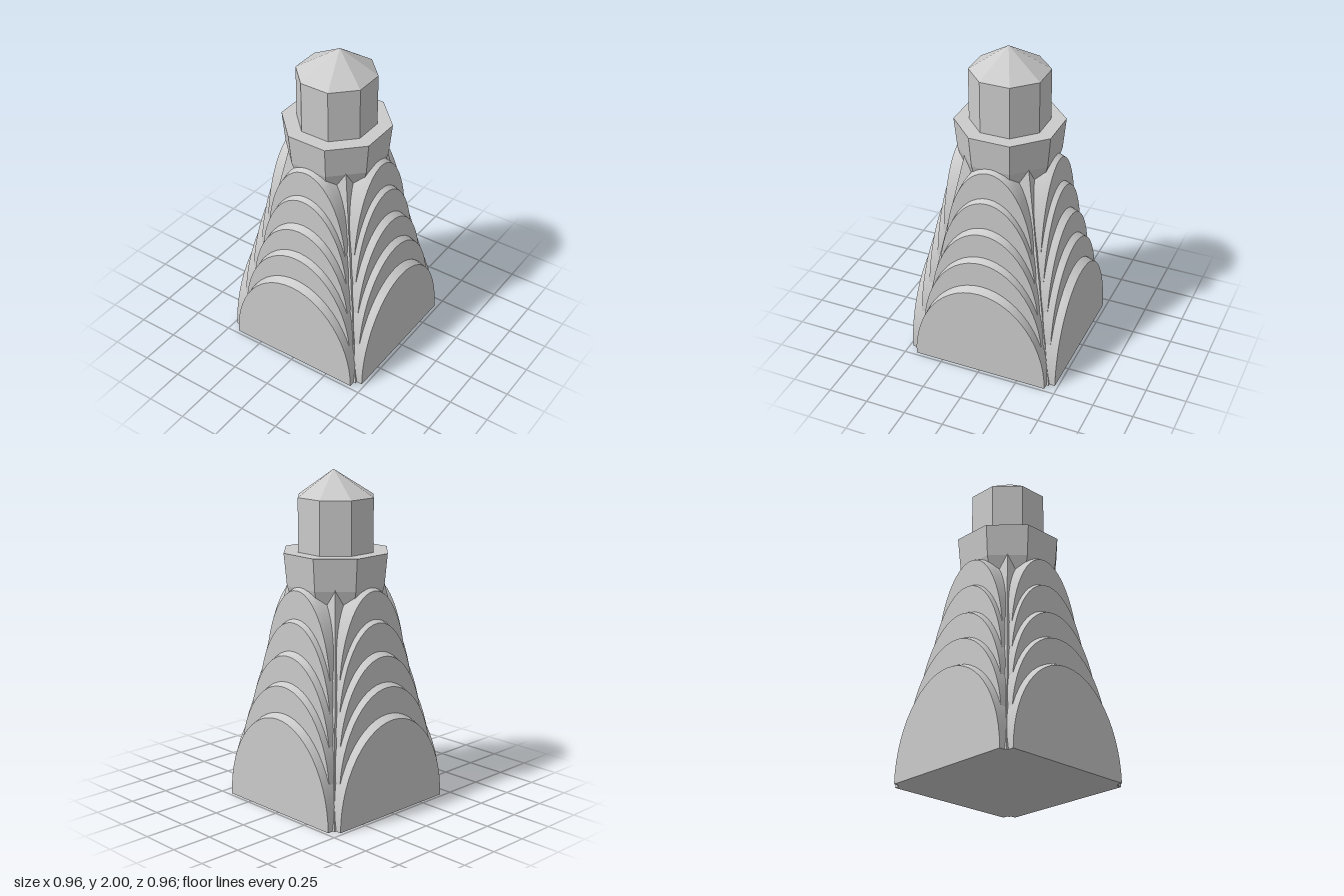
import * as THREE from 'three';
import { toCreasedNormals } from 'three/addons/utils/BufferGeometryUtils.js';

const stone = new THREE.MeshStandardMaterial({ color: 0xcccccc });
const facetedStone = new THREE.MeshStandardMaterial({ color: 0xcccccc, flatShading: true });

// Barrel vault along z: straight legs, elliptical arch, crown dipping toward both ends
function vaultGeometry({ depth, width, bottom, spring, top }, segments = 28) {
  const lip = 0.045, dip = 0.022;
  const stations = [
    [depth, top - dip], [depth - lip, top],
    [lip - depth, top], [-depth, top - dip],
  ];
  const n = segments + 3;
  const positions = [], index = [];
  for (const [z, crown] of stations) {
    positions.push(-width, bottom, z);
    for (let i = 0; i <= segments; i++) {
      const a = Math.PI * (1 - i / segments);
      positions.push(width * Math.cos(a), spring + (crown - spring) * Math.sin(a), z);
    }
    positions.push(width, bottom, z);
  }
  for (let k = 0; k < stations.length - 1; k++) {
    for (let i = 0; i < n; i++) {
      const a = k * n + i, b = k * n + (i + 1) % n;
      index.push(a, b, b + n, a, b + n, a + n);
    }
  }
  const back = (stations.length - 1) * n;
  for (let i = 1; i < n - 1; i++) {
    index.push(0, i + 1, i, back, back + i, back + i + 1);
  }
  const geometry = new THREE.BufferGeometry();
  geometry.setAttribute('position', new THREE.Float32BufferAttribute(positions, 3));
  geometry.setIndex(index);
  return toCreasedNormals(geometry, 0.35);
}

// Regular prism or frustum whose flat sides face the axes; radii are measured to the flats
function flatSided(name, sides, rTop, rBottom, y0, y1, open = false) {
  const k = 1 / Math.cos(Math.PI / sides);
  const geometry = new THREE.CylinderGeometry(rTop * k, rBottom * k, y1 - y0, sides, 1, open);
  geometry.rotateY(Math.PI / sides);
  geometry.translate(0, (y0 + y1) / 2, 0);
  const mesh = new THREE.Mesh(geometry, facetedStone);
  mesh.name = name;
  return mesh;
}

export function createModel() {
  const group = new THREE.Group();
  group.name = 'tower';

  // Tapering core that fills the valleys at the four corners
  group.add(flatSided('cornerCore', 4, 0.2, 0.445, 0, 1.35));

  // Five stacked tiers, each a pair of crossing vaults
  const tiers = [
    { depth: 0.48, width: 0.43, spring: 0, top: 0.605 },
    { depth: 0.43, width: 0.39, spring: 0.19, top: 0.79 },
    { depth: 0.39, width: 0.35, spring: 0.37, top: 0.967 },
    { depth: 0.347, width: 0.312, spring: 0.55, top: 1.16 },
    { depth: 0.315, width: 0.28, spring: 0.73, top: 1.345 },
  ];
  tiers.forEach((tier, i) => {
    const tierGroup = new THREE.Group();
    tierGroup.name = `archTier${i + 1}`;
    const geometry = vaultGeometry({ ...tier, bottom: Math.max(0, tier.spring - 0.2) });
    ['frontBackVault', 'leftRightVault'].forEach((name, j) => {
      const vault = new THREE.Mesh(geometry, stone);
      vault.name = name;
      vault.rotation.y = j * Math.PI / 2;
      tierGroup.add(vault);
    });
    group.add(tierGroup);
  });

  // Flaring octagonal collar, drum and pointed roof
  group.add(flatSided('collarBase', 8, 0.285, 0.24, 1.17, 1.33, true));
  group.add(flatSided('collar', 8, 0.303, 0.285, 1.33, 1.525));
  group.add(flatSided('drum', 8, 0.22, 0.22, 1.5, 1.845));
  const roof = flatSided('roof', 8, 0, 0.22, 1.845, 2);
  const p = roof.geometry.attributes.position;
  for (let i = 0; i < p.count; i++) {
    if (p.getY(i) > 1.9) p.setX(i, 0.02); // apex sits slightly off centre
  }
  group.add(roof);

  return group;
}
